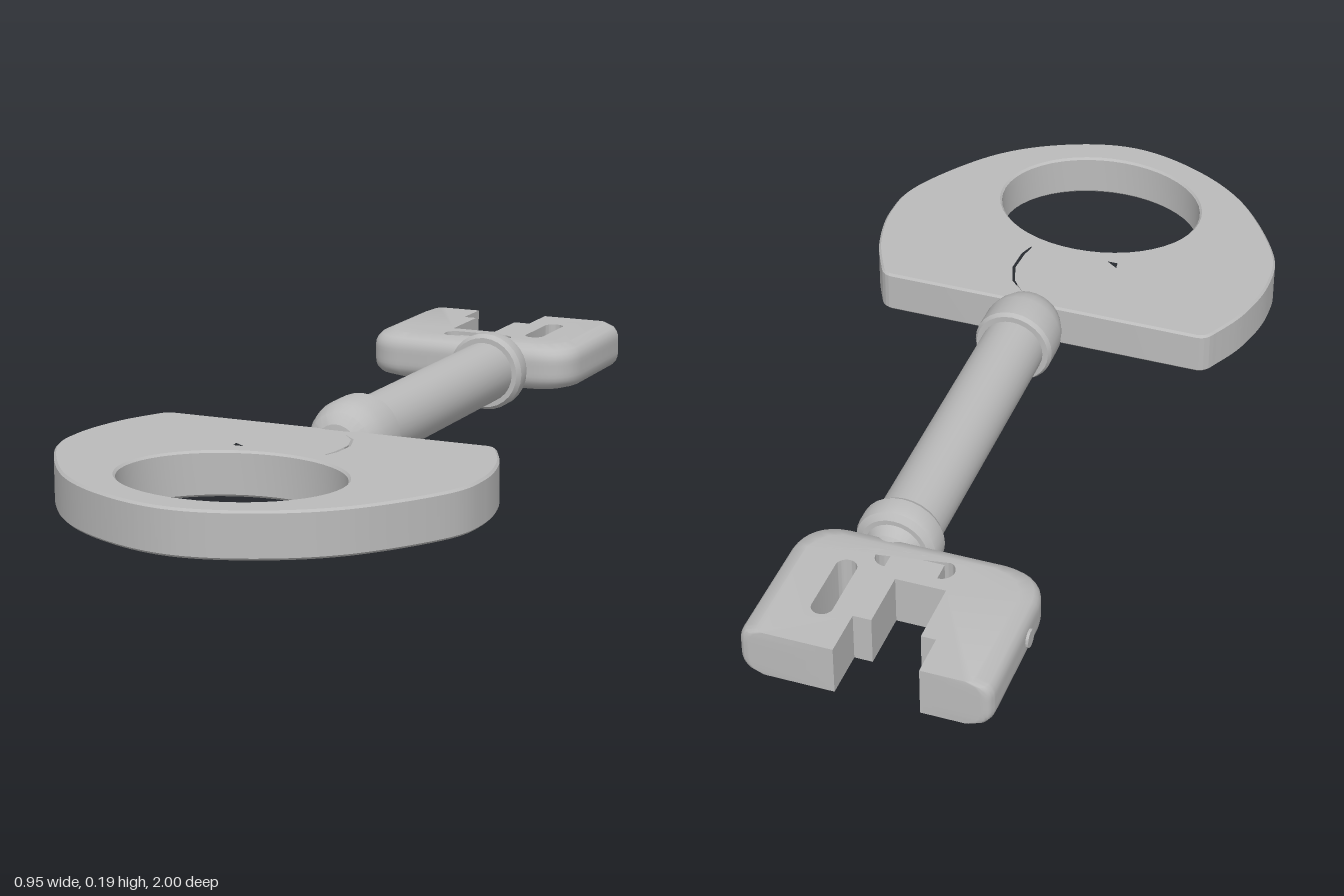
import * as THREE from 'three';
import { toCreasedNormals } from 'three/addons/utils/BufferGeometryUtils.js';

const AXIS_X = 0.025, AXIS_Y = 0.094;

export function createModel() {
  const key = new THREE.Group();
  key.name = 'key';
  const metal = new THREE.MeshStandardMaterial({ color: 0xbbbbbb });
  metal.name = 'grey metal';

  const add = (name, geometry, crease = 0.6) => {
    const mesh = new THREE.Mesh(toCreasedNormals(geometry, crease), metal);
    mesh.name = name;
    key.add(mesh);
    return mesh;
  };
  // plan points are [x, z]; shapes are drawn with y = -z, then laid flat
  const plan = (pts) => pts.map(([x, z]) => new THREE.Vector2(x, -z));
  const slot = (x0, x1, z0, z1) => {
    const r = Math.min(x1 - x0, z1 - z0) / 2, p = new THREE.Path();
    p.absarc(x1 - r, -z0 - r, r, 0, Math.PI / 2);
    p.absarc(x0 + r, -z0 - r, r, Math.PI / 2, Math.PI);
    p.absarc(x0 + r, -z1 + r, r, Math.PI, Math.PI * 1.5);
    p.absarc(x1 - r, -z1 + r, r, Math.PI * 1.5, Math.PI * 2);
    p.closePath();
    return p;
  };

  // Bow: D-shaped grip plate with an oval finger hole
  const bow = new THREE.Shape();
  bow.moveTo(-0.37, -0.28);
  bow.lineTo(0.37, -0.28);
  bow.quadraticCurveTo(0.39, -0.28, 0.4, -0.3);
  bow.splineThru(plan([[0.445, 0.4], [0.468, 0.53], [0.445, 0.66], [0.32, 0.845],
    [0.17, 0.95], [0, 0.994], [-0.17, 0.95], [-0.32, 0.845], [-0.445, 0.66],
    [-0.468, 0.53], [-0.445, 0.4], [-0.4, 0.3]]));
  bow.quadraticCurveTo(-0.39, -0.28, -0.37, -0.28);
  bow.holes.push(new THREE.Path().absellipse(0, -0.725, 0.249, 0.206, 0, Math.PI * 2));
  // narrow curved slits near the shaft end
  bow.holes.push(new THREE.Path(plan([[0.06, 0.312], [0.095, 0.345], [0.114, 0.4],
    [0.112, 0.46], [0.1, 0.495], [0.097, 0.49], [0.104, 0.46], [0.107, 0.4],
    [0.09, 0.348]])));
  bow.holes.push(new THREE.Path(plan([[-0.118, 0.475], [-0.09, 0.495], [-0.115, 0.495]])));
  const bowGeo = new THREE.ExtrudeGeometry(bow, {
    depth: 0.09, bevelThickness: 0.005, bevelSize: 0.005, bevelSegments: 1, curveSegments: 24,
  });
  bowGeo.rotateX(-Math.PI / 2).translate(0, 0.036, 0);
  add('bow', bowGeo);

  // Round parts turned about the shaft axis; profile points are [radius, z]
  const turned = (name, pts) => {
    const g = new THREE.LatheGeometry(pts.map(([r, z]) => new THREE.Vector2(r, z)), 28);
    g.rotateX(Math.PI / 2).translate(AXIS_X, AXIS_Y, 0);
    add(name, g, 0.5);
  };
  turned('shaft', [[0, -0.59], [0.073, -0.59], [0.073, 0.18], [0, 0.18]]);
  turned('frontCollar', [[0, 0.14], [0.086, 0.14], [0.092, 0.15], [0.092, 0.215],
    [0.086, 0.24], [0.073, 0.268], [0.05, 0.285], [0, 0.29]]);
  turned('rearCollar', [[0, -0.612], [0.075, -0.612], [0.089, -0.602], [0.093, -0.59],
    [0.093, -0.558], [0.085, -0.545], [0, -0.545]]);
  turned('neck', [[0, -0.66], [0.052, -0.66], [0.052, -0.635], [0.068, -0.605], [0, -0.605]]);

  // Bit: notched plate with rounded outer edges and two slots
  const X0 = -0.328, X1 = 0.212, CX = (X0 + X1) / 2, Y0 = 0.038, H = 0.112;
  const bit = new THREE.Shape();
  bit.moveTo(X0 + 0.09, 0.625);
  bit.lineTo(X1 - 0.09, 0.625);
  bit.quadraticCurveTo(X1 - 0.005, 0.63, X1, 0.715);
  bit.lineTo(X1, 0.97);
  bit.quadraticCurveTo(X1, 1, X1 - 0.025, 1);
  for (const p of plan([[0.005, -1], [0.005, -0.893], [-0.035, -0.893], [-0.035, -0.76],
    [-0.145, -0.76], [-0.145, -0.905], [-0.177, -0.905], [-0.177, -1],
    [X0 + 0.025, -1]])) bit.lineTo(p.x, p.y);
  bit.quadraticCurveTo(X0, 1, X0, 0.97);
  bit.lineTo(X0, 0.715);
  bit.quadraticCurveTo(X0 + 0.005, 0.63, X0 + 0.09, 0.625);
  bit.holes.push(slot(0.05, 0.096, -0.91, -0.735), slot(-0.143, 0.03, -0.73, -0.674));
  const bitGeo = new THREE.ExtrudeGeometry(bit, {
    depth: H, steps: 12, bevelEnabled: false, curveSegments: 8,
  });
  bitGeo.rotateX(-Math.PI / 2).translate(0, Y0, 0);
  // draw the outer wall inwards near the top and bottom faces
  const pos = bitGeo.attributes.position, R = 0.037;
  for (let i = 0; i < pos.count; i++) {
    const x = pos.getX(i), y = pos.getY(i), z = pos.getZ(i);
    if (Math.abs(x - CX) < 0.16 && z < -0.67) continue;
    const d = Math.max(0, Math.min(y - Y0, Y0 + H - y));
    const inset = d < R ? R * (1 - Math.sqrt(1 - (1 - d / R) ** 2)) : 0;
    pos.setX(i, CX + (x - CX) * (1 - inset / 0.27));
    pos.setZ(i, -1 + (z + 1) * (1 - inset / 0.375));
  }
  add('bit', bitGeo, 0.7);

  // Bar inside the cross slot
  add('slotBar', new THREE.BoxGeometry(0.115, 0.095, 0.05)).position.set(-0.054, 0.094, -0.702);

  // Small round boss on the side of the bit
  add('sideBoss', new THREE.CylinderGeometry(0.02, 0.02, 0.02, 14).rotateZ(Math.PI / 2))
    .position.set(X0 + 0.004, 0.094, -0.78);

  return key;
}
